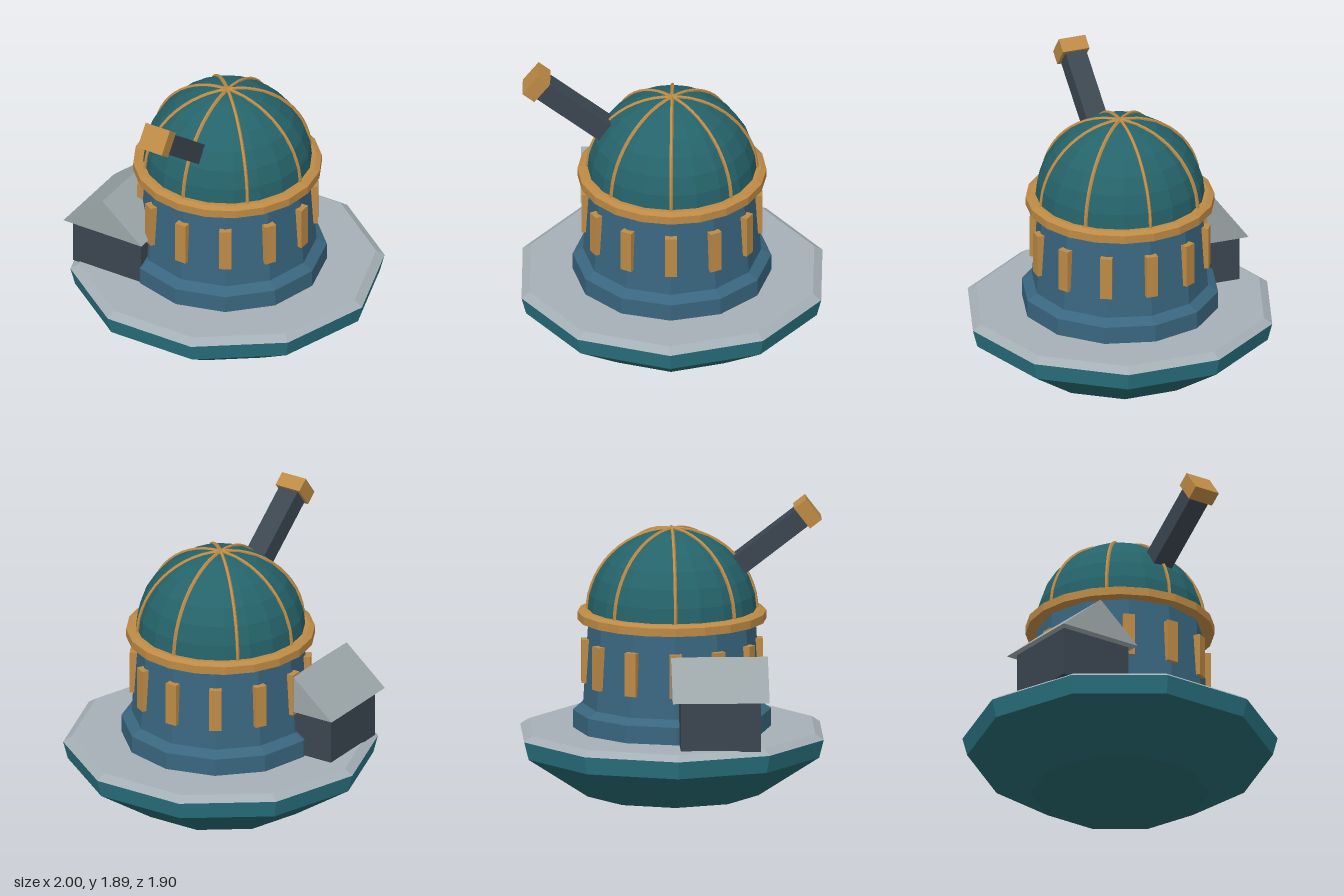
import * as THREE from 'three';

const mat = (name, color) => new THREE.MeshStandardMaterial({ name, color, flatShading: true });

export function createModel() {
  const teal = mat('dome teal', 0x25636a);
  const bandTeal = mat('band teal', 0x2a7684);
  const blue = mat('drum blue', 0x39667f);
  const gold = mat('gold', 0xbd8a45);
  const stone = mat('pale stone', 0xa4afb5);
  const roofGrey = mat('roof grey', 0x9ca6a8);
  const dark = mat('dark slate', 0x3b4650);

  const model = new THREE.Group();
  model.name = 'observatory';

  const add = (name, geometry, material, parent = model) => {
    const mesh = new THREE.Mesh(geometry, material);
    mesh.name = name;
    parent.add(mesh);
    return mesh;
  };
  // Faceted solid of revolution; profile is [radius, y] from bottom to top
  const lathe = (profile, sides, start = 0) =>
    new THREE.LatheGeometry(profile.map(([r, y]) => new THREE.Vector2(r, y)), sides, start);

  // Ten-sided base with a corner on the x axis
  const q = Math.PI / 2;
  add('baseUnderside', lathe([[0, 0], [0.57, 0], [0.97, 0.265]], 10, q), teal);
  add('baseBand', lathe([[0.97, 0.265], [1, 0.38]], 10, q), bandTeal);
  add('terrace', lathe([[1, 0.38], [0.945, 0.417], [0, 0.417]], 10, q), stone);

  // Twelve-sided drum on its plinth
  add('drum', lathe([[0.63, 0.41], [0.63, 0.53], [0.565, 0.57], [0.53, 1.13]], 12), blue);

  // Windows, one on each drum corner
  const windows = new THREE.Group();
  windows.name = 'windows';
  model.add(windows);
  const pane = new THREE.BoxGeometry(0.077, 0.28, 0.06);
  for (let i = 0; i < 12; i++) {
    const a = (i * Math.PI) / 6;
    const w = add('window', pane, gold, windows);
    w.position.set(0.545 * Math.sin(a), 0.847, 0.545 * Math.cos(a));
    w.rotation.y = a;
  }

  // Cornice ring under the dome
  add('cornice', lathe([[0.5, 1.112], [0.6, 1.112], [0.6, 1.165], [0.565, 1.182], [0.5, 1.182]], 20), gold);

  // Dome with eight ribs
  const R = 0.54, domeY = 1.157;
  add('dome', new THREE.SphereGeometry(R, 20, 7, 0, Math.PI * 2, 0, Math.PI / 2), teal).position.y = domeY;
  const arc = [];
  for (let i = 0; i <= 8; i++) {
    const t = (i / 8) * q;
    arc.push(new THREE.Vector3(0, R * Math.cos(t), R * Math.sin(t)));
  }
  const ribGeometry = new THREE.TubeGeometry(new THREE.CatmullRomCurve3(arc), 14, 0.012, 5);
  const ribs = new THREE.Group();
  ribs.name = 'ribs';
  ribs.position.y = domeY;
  model.add(ribs);
  for (let i = 0; i < 8; i++) add('rib', ribGeometry, gold, ribs).rotation.y = (i * Math.PI) / 4;

  // Telescope leaning out of the front of the dome
  const telescope = new THREE.Group();
  telescope.name = 'telescope';
  telescope.position.set(0, 1.799, 0.86);
  telescope.rotation.x = THREE.MathUtils.degToRad(-37.5);
  model.add(telescope);
  add('barrel', new THREE.BoxGeometry(0.14, 0.13, 0.62), dark, telescope).position.z = -0.33;
  add('telescopeCap', new THREE.BoxGeometry(0.18, 0.165, 0.095), gold, telescope);

  // Side annex with a gabled roof
  add('annexWalls', new THREE.BoxGeometry(0.505, 0.33, 0.51), dark).position.set(-0.57, 0.575, 0.277);
  const gable = new THREE.Shape([
    new THREE.Vector2(-0.29, 0), new THREE.Vector2(0.29, 0), new THREE.Vector2(0, 0.245),
  ]);
  add('annexRoof', new THREE.ExtrudeGeometry(gable, { depth: 0.615, bevelEnabled: false }), roofGrey)
    .position.set(-0.573, 0.73, -0.03);

  return model;
}
